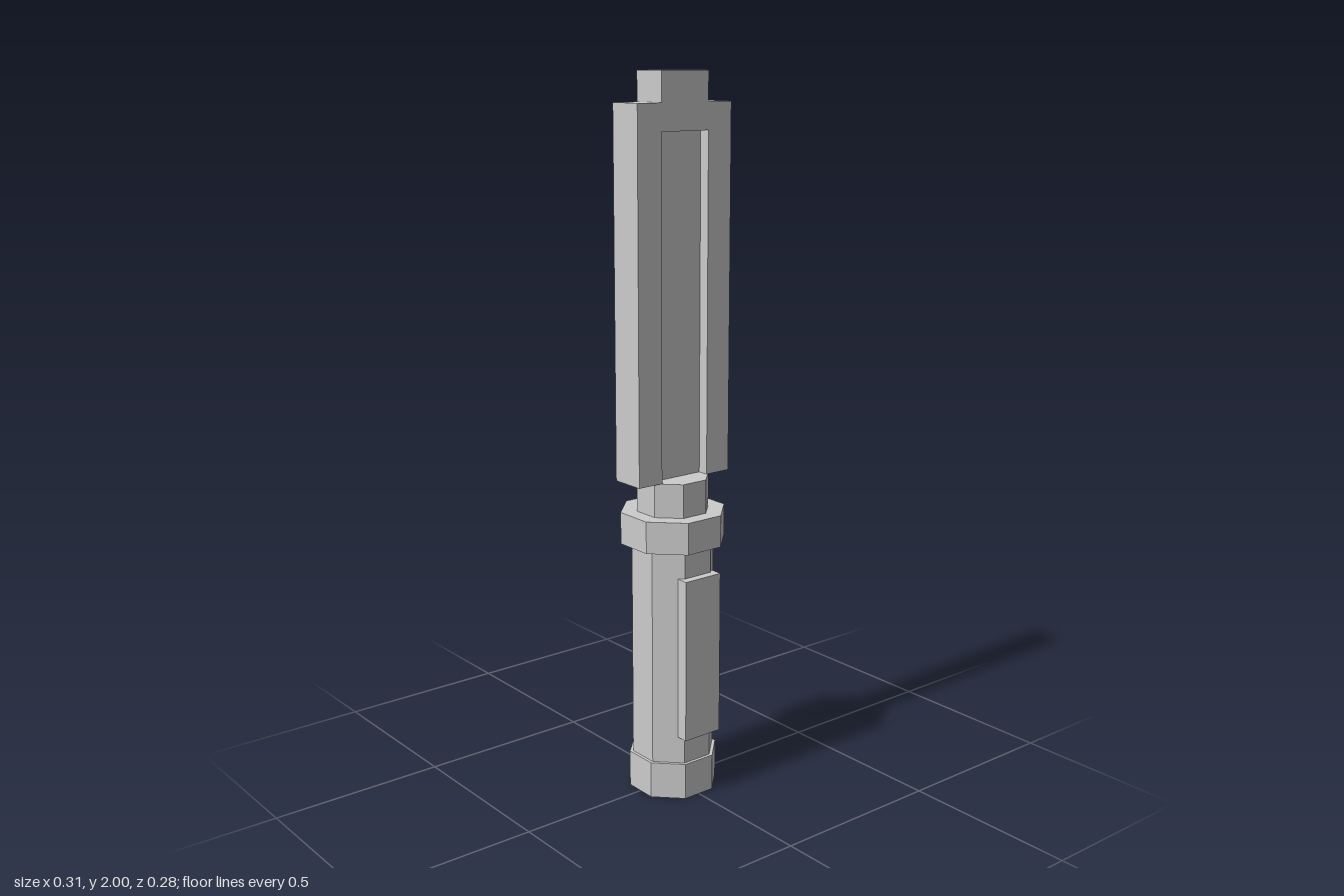
import * as THREE from 'three';

export function createModel() {
  const group = new THREE.Group();
  const grey = new THREE.MeshStandardMaterial({ color: 0xcccccc, flatShading: true });
  grey.name = 'plain grey';

  const add = (name, geometry) => {
    const mesh = new THREE.Mesh(geometry, grey);
    mesh.name = name;
    group.add(mesh);
    return mesh;
  };

  // Upright octagonal prism with flats facing the axes
  const octagon = (name, halfWidth, y0, y1) => {
    const r = halfWidth / Math.cos(Math.PI / 8);
    const g = new THREE.CylinderGeometry(r, r, y1 - y0, 8);
    g.rotateY(Math.PI / 8);
    add(name, g).position.y = (y0 + y1) / 2;
  };

  const box = (name, w, y0, y1, z0, z1) => {
    add(name, new THREE.BoxGeometry(w, y1 - y0, z1 - z0))
      .position.set(0, (y0 + y1) / 2, (z0 + z1) / 2);
  };

  // Handle stack
  octagon('pommel', 0.118, 0, 0.105);
  octagon('handle', 0.109, 0.105, 0.73);
  octagon('guard', 0.138, 0.73, 0.82);
  octagon('collar', 0.095, 0.82, 0.915);

  // Raised plate on the front of the handle
  box('handlePlate', 0.122, 0.185, 0.652, 0.098, 0.133);

  // Blade frame: stepped tip, slot open at the bottom
  const W = 0.156, S = 0.078, D = 0.0515, base = 0.915;
  const outline = [
    [S, base], [W, base], [W, 1.92], [S, 1.92], [S, 2], [-S, 2],
    [-S, 1.92], [-W, 1.92], [-W, base], [-S, base], [-S, 1.847], [S, 1.847],
  ];
  const shape = new THREE.Shape(outline.map(([x, y]) => new THREE.Vector2(x, y)));
  const frame = new THREE.ExtrudeGeometry(shape, { depth: 2 * D, bevelEnabled: false });
  frame.translate(0, 0, -D);
  add('bladeFrame', frame);

  // Recessed web filling the slot
  box('bladeWeb', 2 * S, base, 1.847, -0.02, 0.02);

  return group;
}
